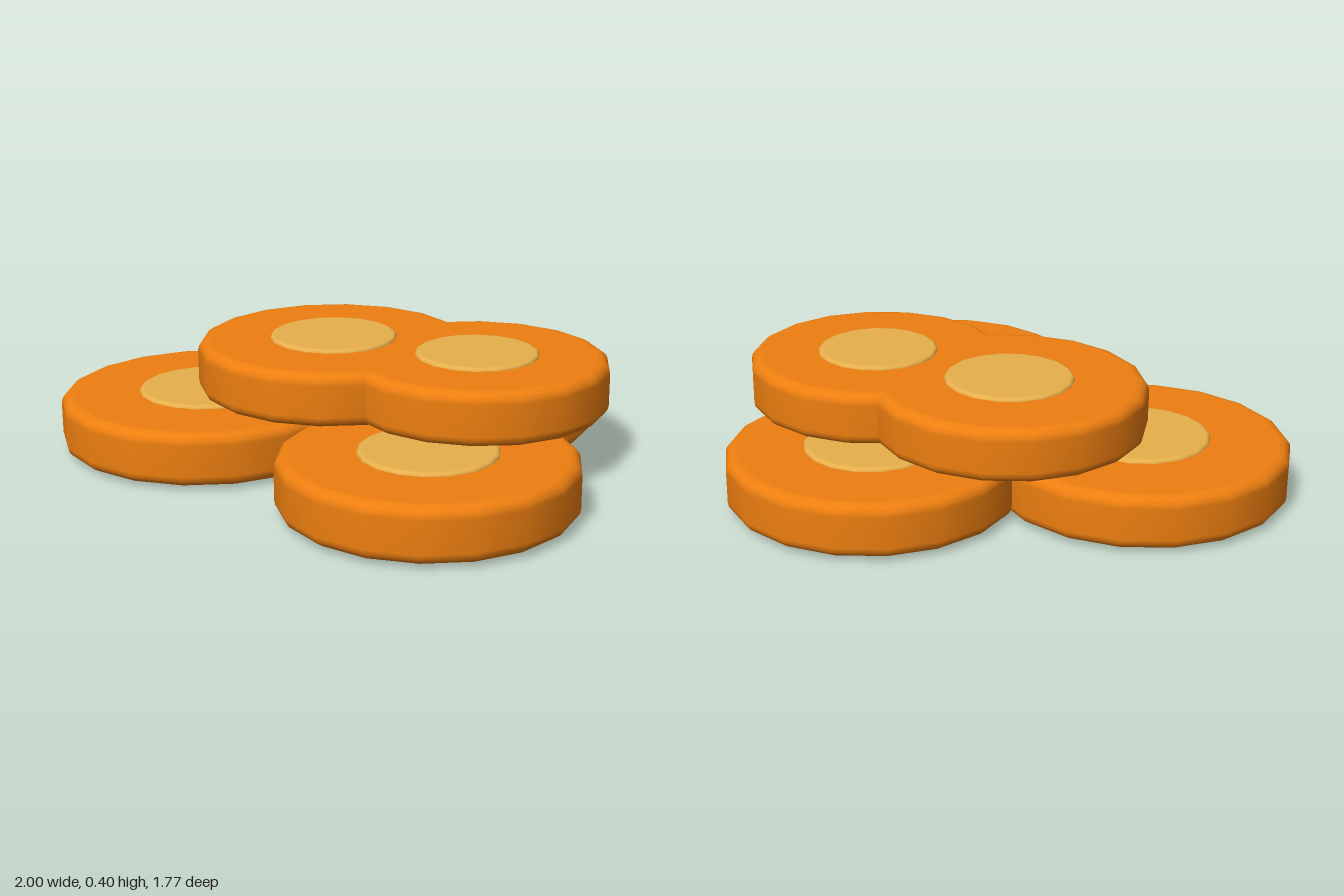
import * as THREE from 'three';

const SIDES = 18;
const rimMaterial = new THREE.MeshStandardMaterial({ color: 0xee7f10 });
const centreMaterial = new THREE.MeshStandardMaterial({ color: 0xe8b04c });

// Solid disc with rounded edges, centred on its own origin
function roundedDisc(radius, halfHeight, bevel) {
  const inner = radius - bevel, shoulder = halfHeight - bevel, steps = 4;
  const lower = [new THREE.Vector2(0, -halfHeight), new THREE.Vector2(inner - 0.006, -halfHeight)];
  for (let i = 0; i <= steps; i++) {
    const a = (i / steps) * Math.PI / 2;
    lower.push(new THREE.Vector2(inner + bevel * Math.sin(a), -shoulder - bevel * Math.cos(a)));
  }
  const upper = lower.map(p => new THREE.Vector2(p.x, -p.y)).reverse();
  return new THREE.LatheGeometry([...lower, ...upper], SIDES);
}

// One piece: a thick outer disc with a slightly taller centre showing on both faces
function makePiece(name, x, y, z, radius) {
  const piece = new THREE.Group();
  piece.name = name;
  const rim = new THREE.Mesh(roundedDisc(radius, 0.092, 0.038), rimMaterial);
  rim.name = 'outerDisc';
  const centre = new THREE.Mesh(roundedDisc(radius * 0.47, 0.103, 0.014), centreMaterial);
  centre.name = 'centreDisc';
  piece.add(rim, centre);
  piece.position.set(x, y, z);
  return piece;
}

export function createModel() {
  const model = new THREE.Group();
  model.name = 'stackedDiscs';
  const low = 0.106, high = 0.296;
  // Bottom layer of three, top layer of two
  model.add(
    makePiece('lowerRightDisc', -0.493, low, 0.37, 0.515),
    makePiece('lowerLeftDisc', 0.515, low, 0.306, 0.49),
    makePiece('lowerBackDisc', 0.005, low, -0.388, 0.5),
    makePiece('upperRightDisc', -0.18, high, 0.052, 0.475),
    makePiece('upperLeftDisc', 0.324, high, -0.137, 0.452)
  );
  return model;
}
